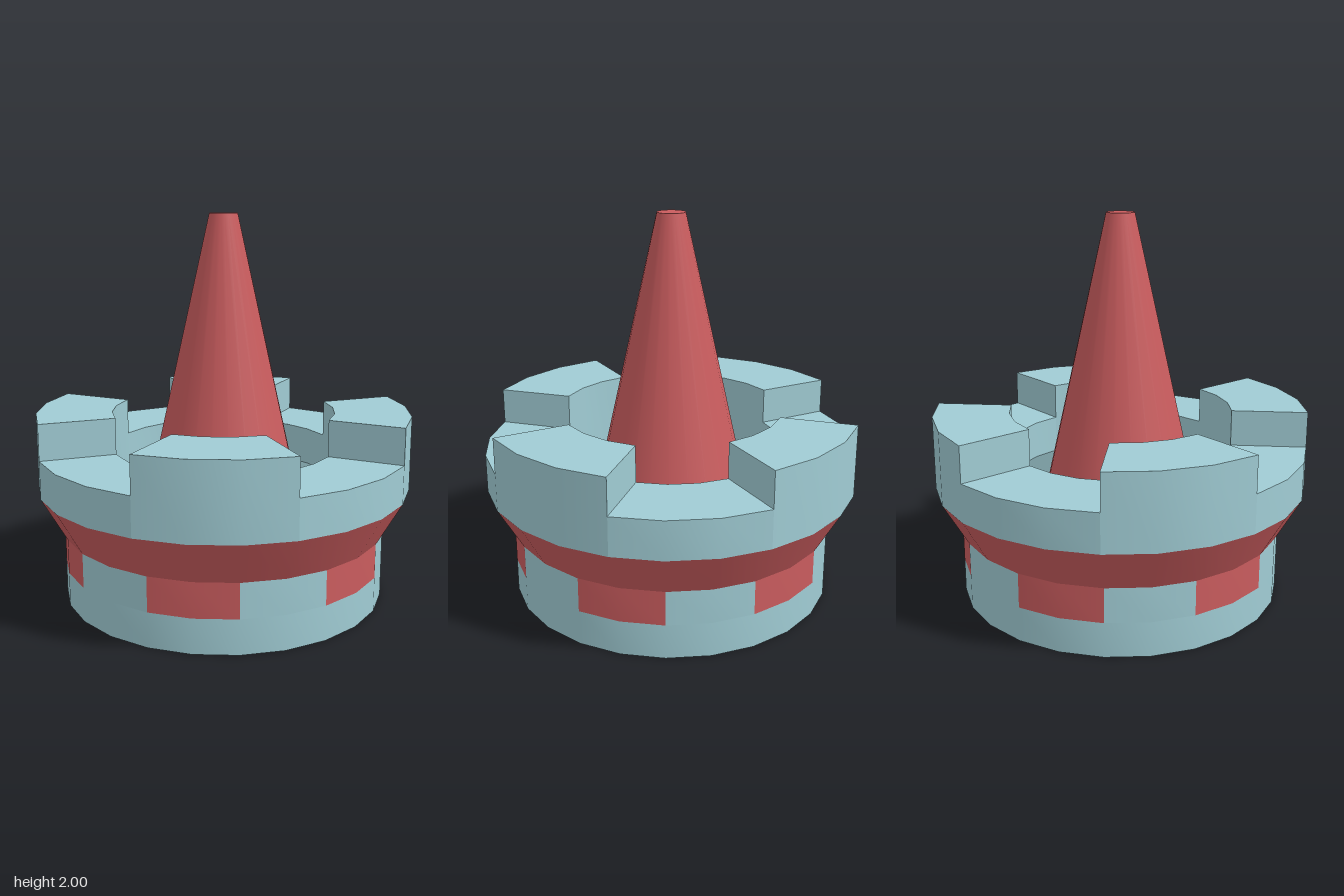
import * as THREE from 'three';
import { toCreasedNormals } from 'three/addons/utils/BufferGeometryUtils.js';

const STEP = Math.PI / 12; // every round part has 24 sides
const R_BASE = 0.85, R_RIM = 0.98, R_WELL = 0.585;
const Y_PATCH = 0.18, Y_BASE = 0.36, Y_FLARE = 0.59, Y_RIM = 0.79, Y_TOP = 0.98;

const paint = (color) => new THREE.MeshStandardMaterial({ color });
const teal = paint(0xa0ccd4);
const red = paint(0xc95c5e);
const shade = paint(0x76969c);
const tealThin = paint(0xa0ccd4);
tealThin.side = THREE.DoubleSide;

// Turns a profile of [radius, y] points through a number of 15 degree steps.
function turn(name, profile, material, first = 0, steps = 24) {
  const points = profile.map(([r, y]) => new THREE.Vector2(r, y));
  const geo = new THREE.LatheGeometry(points, steps, first * STEP, steps * STEP);
  const mesh = new THREE.Mesh(toCreasedNormals(geo, 0.5), material);
  mesh.name = name;
  return mesh;
}

// Upright radial face closing one end of a battlement.
function endFace(step) {
  const geo = new THREE.PlaneGeometry(R_RIM - R_WELL, Y_TOP - Y_RIM);
  geo.translate((R_RIM + R_WELL) / 2, (Y_TOP + Y_RIM) / 2, 0);
  geo.rotateY(step * STEP - Math.PI / 2);
  const mesh = new THREE.Mesh(geo, tealThin);
  mesh.name = 'battlementEnd';
  return mesh;
}

export function createModel() {
  const model = new THREE.Group();
  model.name = 'tower';

  // Base drum with a ring of alternating windows under the flare
  model.add(turn('base', [[0, 0], [R_BASE, 0], [R_BASE, Y_PATCH]], teal));
  for (let i = 0; i < 12; i++) {
    const isWindow = i % 2 === 0;
    model.add(turn(isWindow ? 'window' : 'baseWall',
      [[R_BASE, Y_PATCH], [R_BASE, Y_BASE]], isWindow ? red : teal, i * 2, 2));
  }

  // Flared collar
  model.add(turn('collar', [[R_BASE, Y_BASE], [R_RIM, Y_FLARE]], red));

  // Rim: four raised battlements and four gaps, each an eighth of the circle
  for (let i = 0; i < 8; i++) {
    const raised = i % 2 === 0;
    const top = raised ? Y_TOP : Y_RIM;
    const part = new THREE.Group();
    part.name = raised ? 'battlement' : 'rimGap';
    part.add(turn('rimWall',
      [[R_RIM, Y_FLARE], [R_RIM, top], [R_WELL, top], [R_WELL, Y_FLARE]], teal, i * 3, 3));
    if (raised) part.add(endFace(i * 3), endFace(i * 3 + 3));
    model.add(part);
  }

  // Sunken floor and the tapering spire that stands on it
  model.add(turn('floor', [[R_WELL, Y_FLARE], [0.38, Y_FLARE]], shade));
  model.add(turn('spire', [[0.39, Y_FLARE], [0.073, 2], [0, 2]], red));

  return model;
}
